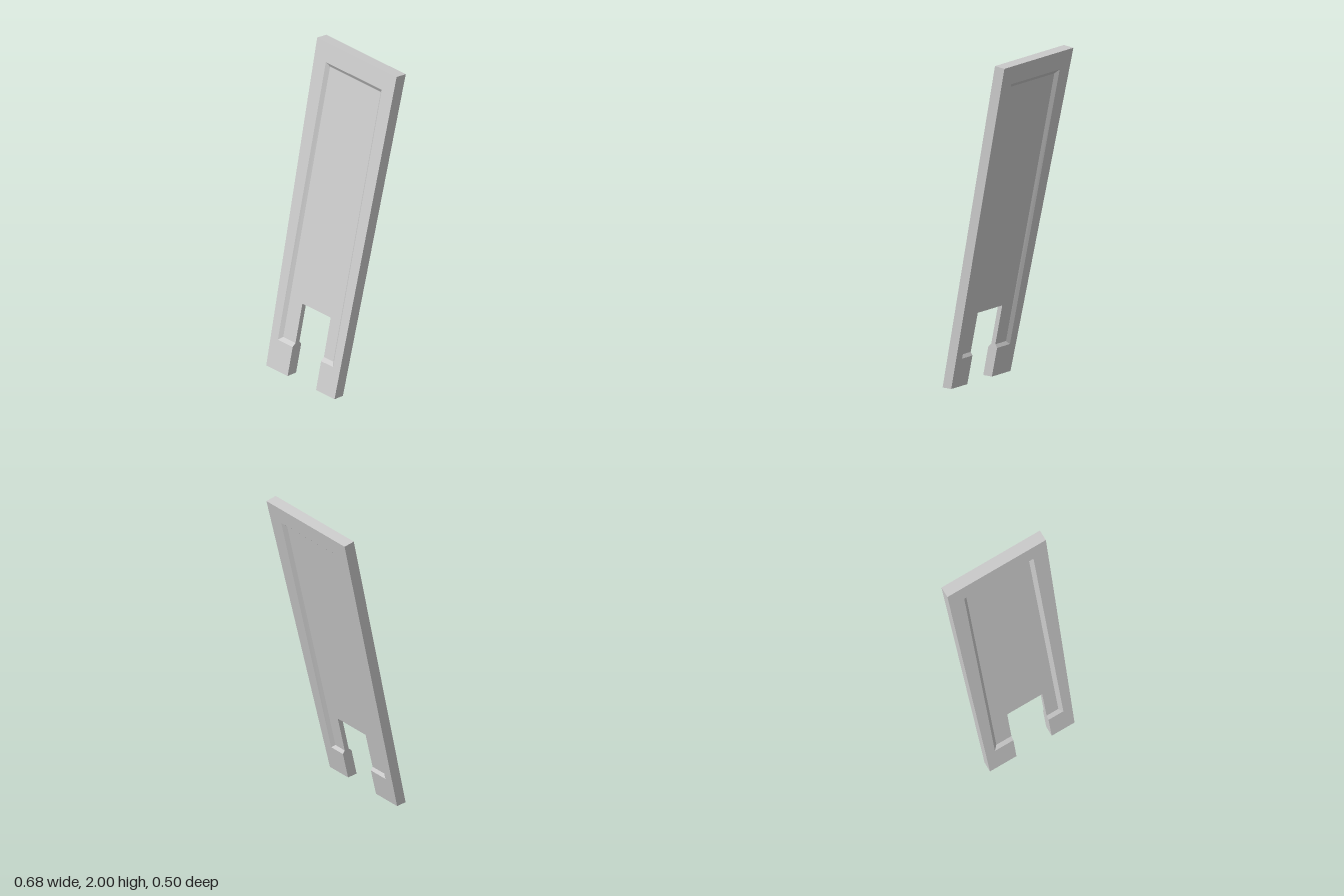
import * as THREE from 'three';

const THICK = 0.065, DEPTH = 0.0175;

// Panel coordinates (x, height, depth behind the front face) to the leaning position
const place = ([x, y], d) => [
  x + 0.04 * d,
  y * (1 - 0.05 * d),
  0.253 - 0.2165 * y - d * (1 + 0.045 * y),
];

export function createModel() {
  const group = new THREE.Group();
  const material = new THREE.MeshStandardMaterial({ color: 0xcccccc, flatShading: true });

  function addMesh(name, triangles) {
    const geometry = new THREE.BufferGeometry();
    geometry.setAttribute('position', new THREE.Float32BufferAttribute(triangles.flat(2), 3));
    geometry.computeVertexNormals();
    const mesh = new THREE.Mesh(geometry, material);
    mesh.name = name;
    group.add(mesh);
  }
  const quad = (a, b, c, d) => [[a, b, c], [a, c, d]];

  // Feet and outer corners
  const footL = [[-0.315, 0], [-0.133, 0]];
  const footR = [[0.108, 0], [0.265, 0]];
  const top = [[0.335, 2], [-0.34, 2]];
  // Recess: rim at the surface and floor edge, both open at the notch
  const rim = [[-0.131, 0.178], [-0.257, 0.178], [-0.24, 1.885], [0.235, 1.885], [0.212, 0.178], [0.11, 0.178]];
  const floor = [[-0.131, 0.198], [-0.235, 0.198], [-0.219, 1.86], [0.211, 1.86], [0.19, 0.198], [0.11, 0.198]];
  const notchTop = [[-0.128, 0.44], [0.112, 0.44]];

  const framePoly = [...footL, ...rim, ...footR, ...top];
  const floorPoly = [floor[0], ...notchTop, ...floor.slice(1).reverse()];

  // Flat polygon at a given depth, turned over for the back
  function sheet(points, depth, back) {
    const contour = points.map(([x, y]) => new THREE.Vector2(x, y));
    return THREE.ShapeUtils.triangulateShape(contour, []).map((face) => {
      const corners = face.map((i) => place(points[i], depth));
      return back ? corners.reverse() : corners;
    });
  }

  // Front and back: raised frame, bevelled recess wall, recessed panel
  for (const back of [false, true]) {
    const side = back ? 'back' : 'front';
    const outer = back ? THICK : 0;
    const inner = back ? THICK - DEPTH : DEPTH;
    addMesh(side + 'Frame', sheet(framePoly, outer, back));
    addMesh(side + 'RecessedPanel', sheet(floorPoly, inner, back));
    const bevel = [];
    for (let i = 0; i < rim.length - 1; i++) {
      const c = [place(rim[i], outer), place(floor[i], inner), place(floor[i + 1], inner), place(rim[i + 1], outer)];
      bevel.push(...quad(...(back ? c.reverse() : c)));
    }
    addMesh(side + 'RecessBevel', bevel);
  }

  // Edges joining front to back along the outline, thinner inside the notch
  const edgeBand = (path) => path.slice(1).flatMap((q, i) => {
    const p = path[i], dp = p[2] || 0, dq = q[2] || 0;
    return quad(place(p, dp), place(p, THICK - dp), place(q, THICK - dq), place(q, dq));
  });
  const thin = ([x, y]) => [x, y, DEPTH];
  addMesh('outerEdge', edgeBand([...footR, ...top, ...footL]));
  addMesh('notchEdge', edgeBand([
    footL[1], rim[0], thin(floor[0]), ...notchTop.map(thin), thin(floor[5]), rim[5], footR[0],
  ]));

  return group;
}
